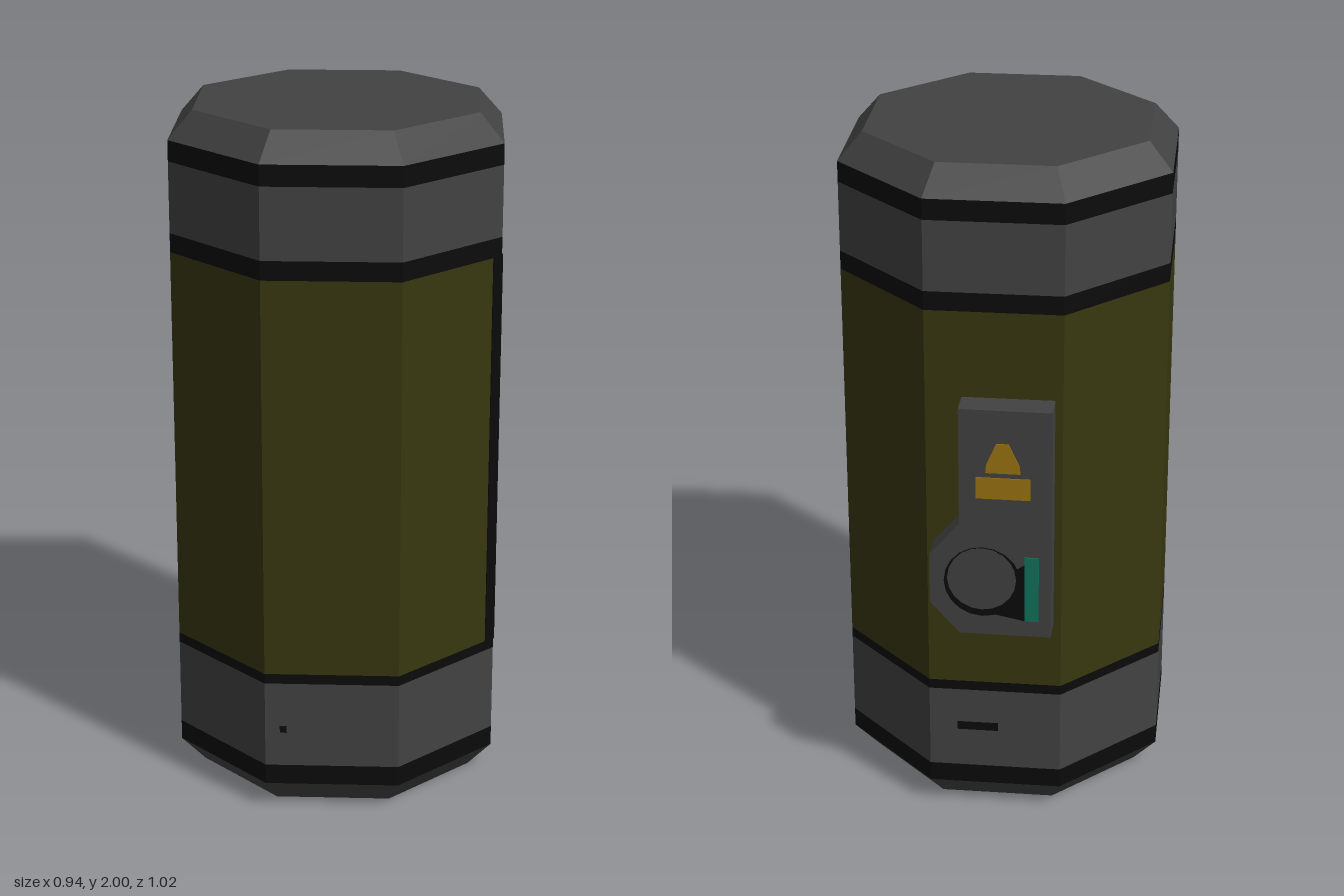
import * as THREE from 'three';

const mat = (name, color) => {
  const m = new THREE.MeshStandardMaterial({ color });
  m.name = name;
  return m;
};

export function createModel() {
  const grey = mat('dark grey', 0x424242);
  const black = mat('black', 0x0b0b0b);
  const olive = mat('olive', 0x383710);
  const yellow = mat('amber', 0x9a7410);
  const teal = mat('teal', 0x12735c);

  const model = new THREE.Group();
  model.name = 'canister';
  const add = (parent, name, geometry, material) => {
    const mesh = new THREE.Mesh(geometry, material);
    mesh.name = name;
    parent.add(mesh);
    return mesh;
  };

  // Octagonal body, stacked from bands
  const body = new THREE.Group();
  body.name = 'body';
  body.position.z = 0.04;
  body.rotation.y = 0.01;
  model.add(body);

  const R = 0.503, r = 0.43;
  const toFlat = (geometry) => {
    const g = geometry.toNonIndexed();
    g.computeVertexNormals();
    return g;
  };
  const band = (name, y0, y1, material, bottom = R, top = R) => {
    const open = bottom === top;
    const g = new THREE.CylinderGeometry(top, bottom, y1 - y0, 8, 1, open, Math.PI / 8);
    g.translate(0, (y0 + y1) / 2, 0);
    add(body, name, toFlat(g), material);
  };
  band('bottomCap', 0, 0.08, grey, r, R);
  band('bottomRing', 0.08, 0.14, black);
  band('lowerCollar', 0.14, 0.4, grey);
  band('lowerRing', 0.4, 0.43, black);
  band('shell', 0.43, 1.6, olive);
  band('upperRing', 1.6, 1.655, black);
  band('upperCollar', 1.655, 1.86, grey);
  band('topRing', 1.86, 1.92, black);
  band('topCap', 1.92, 2, grey, R, r);

  // Vertical seam wrapped round one corner of the shell
  const corner = new THREE.Vector3(R * Math.sin(Math.PI * 3 / 8), 0, R * Math.cos(Math.PI * 3 / 8));
  [['seamSide', 0, 0.025], ['seamDiagonal', Math.PI * 0.75, 0.035]].forEach(([name, turn, width]) => {
    const seam = add(body, name, new THREE.BoxGeometry(0.006, 1.17, width), black);
    const along = turn === 0 ? new THREE.Vector3(0, 0, -1) : new THREE.Vector3(-Math.SQRT1_2, 0, Math.SQRT1_2);
    seam.position.copy(corner).addScaledVector(along, width / 2);
    seam.position.y = 1.015;
    seam.rotation.y = turn;
  });

  // Flat outlines pushed out along z
  const plate = (parent, name, points, z, depth, material) => {
    const shape = new THREE.Shape(points.map(([x, y]) => new THREE.Vector2(x, y)));
    const g = new THREE.ExtrudeGeometry(shape, { depth, bevelEnabled: false });
    g.translate(0, 0, z);
    return add(parent, name, g, material);
  };
  const rect = (x0, x1, y0, y1) => [[x0, y0], [x1, y0], [x1, y1], [x0, y1]];
  const circle = (cx, cy, radius, n = 20) => Array.from({ length: n }, (_, i) => {
    const a = (i / n) * Math.PI * 2;
    return [cx + radius * Math.cos(a), cy + radius * Math.sin(a)];
  });

  // Control panel on the back
  const panel = new THREE.Group();
  panel.name = 'controlPanel';
  model.add(panel);
  plate(panel, 'panelPlate', [
    [-0.175, 0.64], [0.085, 0.64], [0.17, 0.735], [0.17, 0.89],
    [0.085, 0.99], [0.085, 1.345], [-0.175, 1.345],
  ], -0.505, 0.1, grey);
  plate(panel, 'dialShadow', circle(0.02, 0.81, 0.11), -0.507, 0.004, black);
  plate(panel, 'dialCorner', [[-0.1, 0.69], [0, 0.71], [-0.07, 0.85], [-0.1, 0.87]], -0.507, 0.004, black);
  plate(panel, 'dial', circle(0.022, 0.82, 0.098), -0.509, 0.006, grey);
  plate(panel, 'indicatorBar', rect(-0.14, -0.1, 0.69, 0.895), -0.508, 0.005, teal);
  plate(panel, 'warningBar', rect(-0.115, 0.037, 1.075, 1.14), -0.508, 0.005, yellow);
  plate(panel, 'warningTriangle', [
    [-0.088, 1.155], [0.01, 1.155], [0.008, 1.18], [-0.02, 1.245], [-0.055, 1.245], [-0.085, 1.18],
  ], -0.508, 0.005, yellow);

  // Small slots in the lower collar
  plate(body, 'backSlot', rect(-0.01, 0.11, 0.265, 0.29), -0.468, 0.005, black);
  plate(body, 'frontMark', rect(-0.15, -0.13, 0.245, 0.265), 0.463, 0.004, black);

  return model;
}
